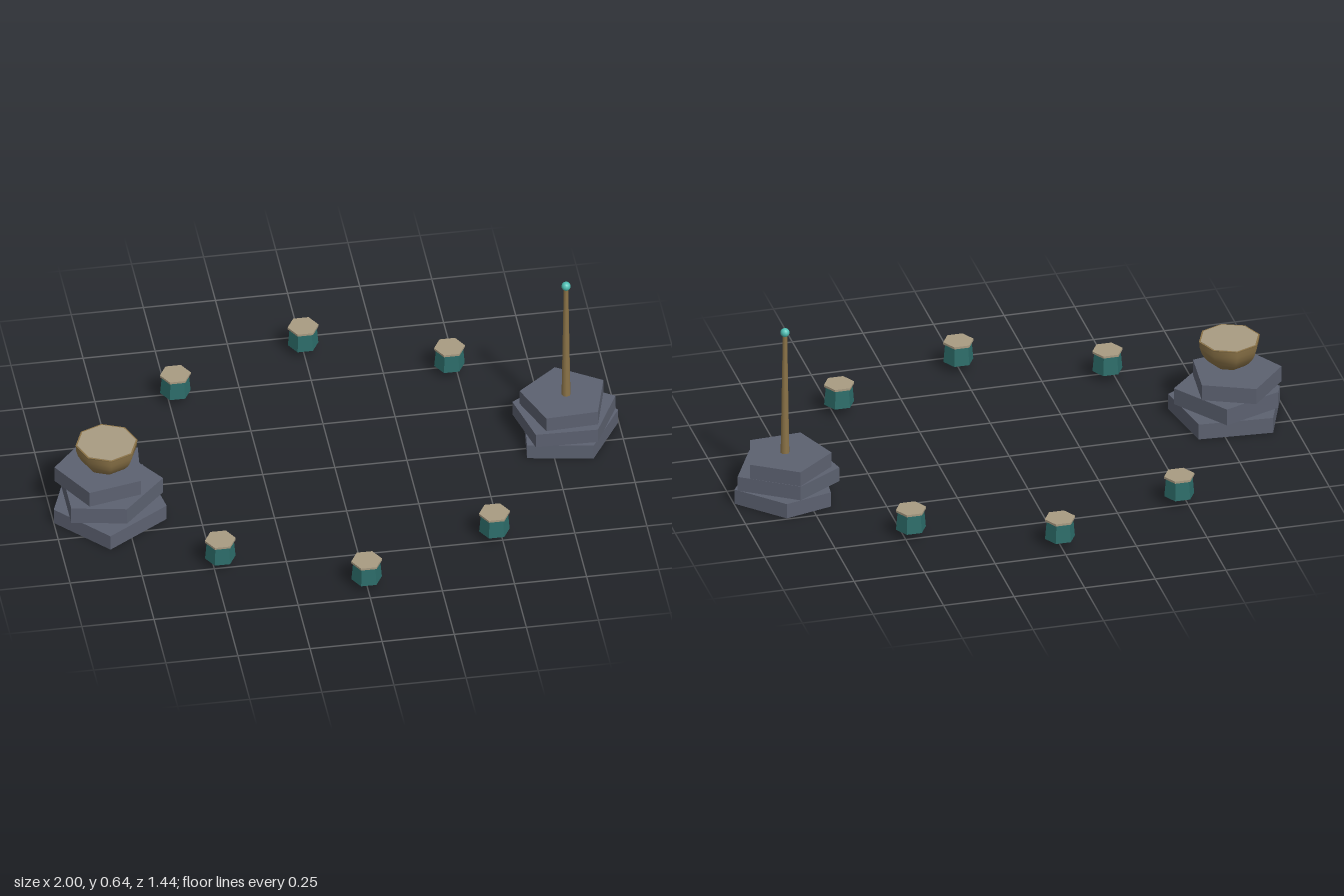
import * as THREE from 'three';

const mat = (name, color, extra = {}) => {
  const m = new THREE.MeshStandardMaterial({ color, ...extra });
  m.name = name;
  return m;
};

export function createModel() {
  const stone = mat('slate stone', 0x5c6170);
  const teal = mat('deep teal', 0x2c6c69);
  const sand = mat('pale sand', 0xa89b82);
  const bronze = mat('bronze', 0x8c7448);
  const glow = mat('bright turquoise', 0x4fbfb4);

  const model = new THREE.Group();
  model.name = 'ritualCircle';

  const add = (parent, name, geometry, material, x = 0, y = 0, z = 0) => {
    const mesh = new THREE.Mesh(geometry, material);
    mesh.name = name;
    mesh.position.set(x, y, z);
    parent.add(mesh);
    return mesh;
  };
  const group = (name) => {
    const g = new THREE.Group();
    g.name = name;
    model.add(g);
    return g;
  };

  // Rough five-sided slab from its [x, z] corners
  const slab = (parent, name, corners, y0, y1) => {
    const shape = new THREE.Shape(corners.map(([x, z]) => new THREE.Vector2(x, -z)));
    const geo = new THREE.ExtrudeGeometry(shape, { depth: y1 - y0, bevelEnabled: false });
    geo.rotateX(-Math.PI / 2);
    add(parent, name, geo, stone, 0, y0, 0);
  };
  // Regular five-sided corners, phase in degrees from +x towards +z
  const pentagon = (cx, cz, r, phase) => Array.from({ length: 5 }, (_, i) => {
    const a = (phase + i * 72) * Math.PI / 180;
    return [cx + r * Math.cos(a), cz + r * Math.sin(a)];
  });

  // Stone stack carrying the bowl
  const bowlAltar = group('bowlAltar');
  slab(bowlAltar, 'bowlSlabBottom',
    [[-1, 0.155], [-0.833, 0.336], [-0.615, 0.195], [-0.658, -0.05], [-0.917, -0.068]], 0, 0.057);
  slab(bowlAltar, 'bowlSlabMiddle',
    [[-0.953, 0.238], [-0.765, 0.273], [-0.615, 0.118], [-0.75, -0.08], [-0.953, 0.0]], 0.057, 0.118);
  slab(bowlAltar, 'bowlSlabTop', pentagon(-0.824, 0.09, 0.161, 41.8), 0.118, 0.176);

  // Half-round eight-sided bowl with a filled top
  const profile = Array.from({ length: 9 }, (_, i) => {
    const a = (i / 8) * Math.PI / 2;
    return new THREE.Vector2(0.107 * Math.sin(a), -0.107 * Math.cos(a));
  });
  add(bowlAltar, 'bowl', new THREE.LatheGeometry(profile, 8), bronze, -0.81, 0.285, 0.112);
  add(bowlAltar, 'bowlRim', new THREE.CylinderGeometry(0.108, 0.107, 0.005, 8), bronze, -0.81, 0.286, 0.112);
  add(bowlAltar, 'bowlFilling', new THREE.CylinderGeometry(0.102, 0.102, 0.003, 8), sand, -0.81, 0.288, 0.112);

  // Stone stack carrying the staff
  const staffAltar = group('staffAltar');
  slab(staffAltar, 'staffSlabBottom',
    [[0.998, -0.095], [0.882, 0.093], [0.657, 0.055], [0.685, -0.2], [0.853, -0.245]], 0, 0.055);
  slab(staffAltar, 'staffSlabMiddle',
    [[0.99, -0.105], [0.9, 0.075], [0.685, 0.07], [0.636, -0.128], [0.8, -0.23]], 0.055, 0.108);
  slab(staffAltar, 'staffSlabTop', pentagon(0.808, -0.074, 0.154, -21), 0.108, 0.162);
  add(staffAltar, 'staff', new THREE.CylinderGeometry(0.008, 0.0155, 0.455, 8), bronze, 0.813, 0.3895, -0.071);
  add(staffAltar, 'staffOrb', new THREE.SphereGeometry(0.016, 12, 8), glow, 0.813, 0.625, -0.071);

  // Six capped markers on a ring, leaving the two side places to the altars
  const bodyGeo = new THREE.CylinderGeometry(0.047, 0.053, 0.069, 6).toNonIndexed();
  const capGeo = new THREE.CylinderGeometry(0.0535, 0.0535, 0.008, 6).toNonIndexed();
  for (const geo of [bodyGeo, capGeo]) {
    geo.rotateY(Math.PI / 6);
    geo.computeVertexNormals();
  }
  [45, 90, 135, 225, 270, 315].forEach((deg, i) => {
    const a = deg * Math.PI / 180;
    const marker = group('marker' + (i + 1));
    marker.position.set(0.672 * Math.cos(a), 0, 0.672 * Math.sin(a));
    add(marker, 'markerBody', bodyGeo, teal, 0, 0.0635, 0);
    add(marker, 'markerCap', capGeo, sand, 0, 0.101, 0);
  });

  return model;
}
